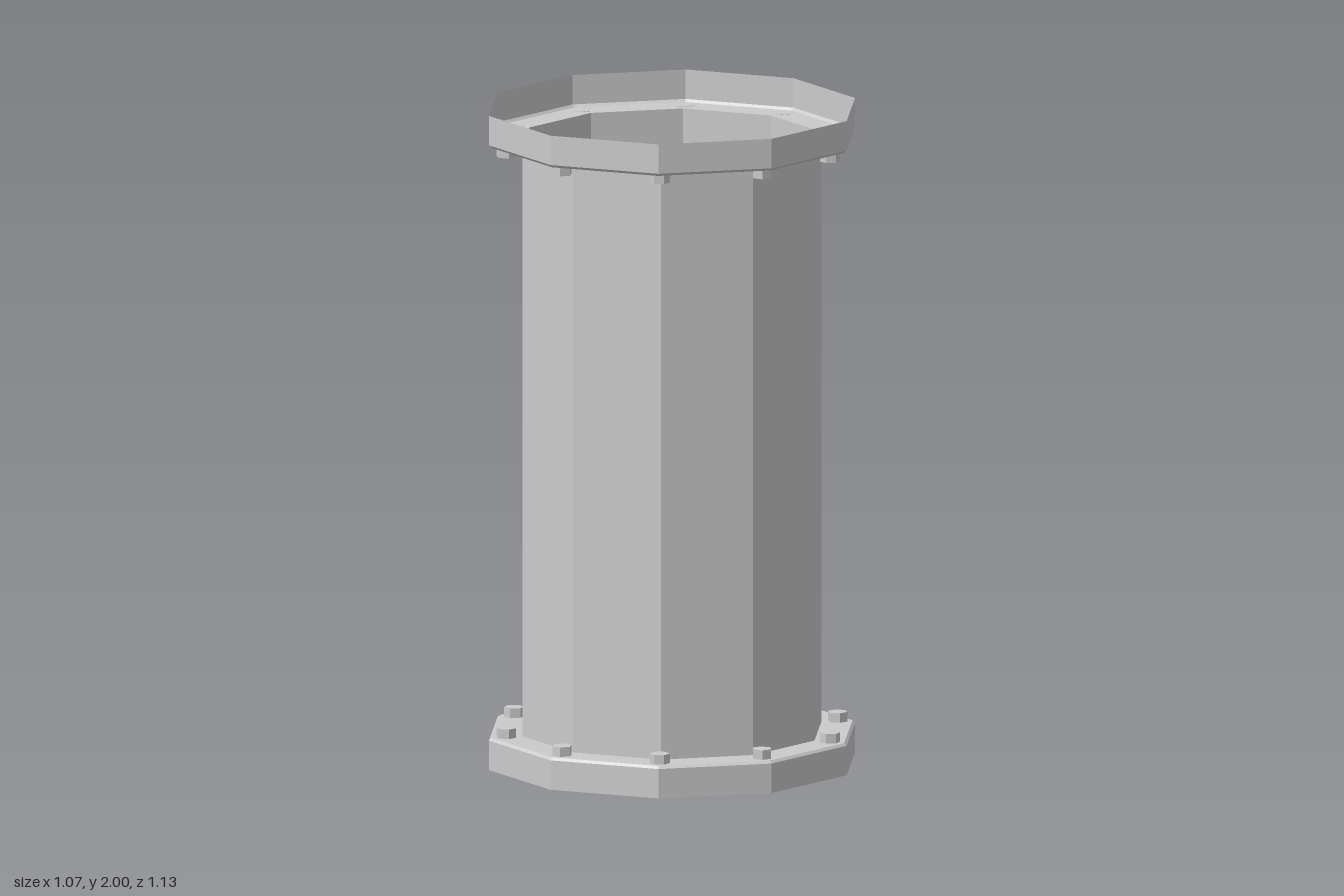
import * as THREE from 'three';

const SIDES = 10;
const HEIGHT = 2;
const PIPE_R = 0.461;
const FLANGE_R = 0.565;
const FLANGE_H = 0.098;
const BEVEL = 0.008;
const BOLT_RING = 0.511;

export function createModel() {
  const group = new THREE.Group();
  group.name = 'flangedPipe';
  const shell = new THREE.MeshStandardMaterial({ color: 0xcccccc, flatShading: true, side: THREE.DoubleSide });
  const solid = new THREE.MeshStandardMaterial({ color: 0xcccccc, flatShading: true });

  const add = (parent, name, geometry, material) => {
    const mesh = new THREE.Mesh(geometry, material);
    mesh.name = name;
    parent.add(mesh);
    return mesh;
  };

  // Open ten-sided tube between the two flange plates
  const pipe = add(group, 'pipe',
    new THREE.CylinderGeometry(PIPE_R, PIPE_R, HEIGHT - 2 * FLANGE_H, SIDES, 1, true), shell);
  pipe.position.y = HEIGHT / 2;

  // Thin dish: outer rim, small bevel and ring plate, open on the end face
  const flangeGeometry = new THREE.LatheGeometry([
    new THREE.Vector2(FLANGE_R, 0),
    new THREE.Vector2(FLANGE_R, FLANGE_H - BEVEL),
    new THREE.Vector2(FLANGE_R - BEVEL, FLANGE_H),
    new THREE.Vector2(PIPE_R, FLANGE_H),
  ], SIDES);

  // Hexagonal bolt head with corners along the ring direction
  const boltGeometry = new THREE.CylinderGeometry(0.0305, 0.0305, 0.03, 6);
  boltGeometry.rotateY(Math.PI / 6);

  const makeEnd = (name) => {
    const end = new THREE.Group();
    end.name = name;
    add(end, 'flange', flangeGeometry, shell);
    for (let i = 0; i < SIDES; i++) {
      const a = (i / SIDES) * Math.PI * 2;
      const bolt = add(end, 'bolt', boltGeometry, solid);
      bolt.position.set(Math.sin(a) * BOLT_RING, FLANGE_H + 0.014, Math.cos(a) * BOLT_RING);
      bolt.rotation.y = a;
    }
    group.add(end);
    return end;
  };

  makeEnd('bottomEnd');

  // Same end turned upside down at the top
  const top = makeEnd('topEnd');
  top.rotation.x = Math.PI;
  top.position.y = HEIGHT;

  return group;
}
